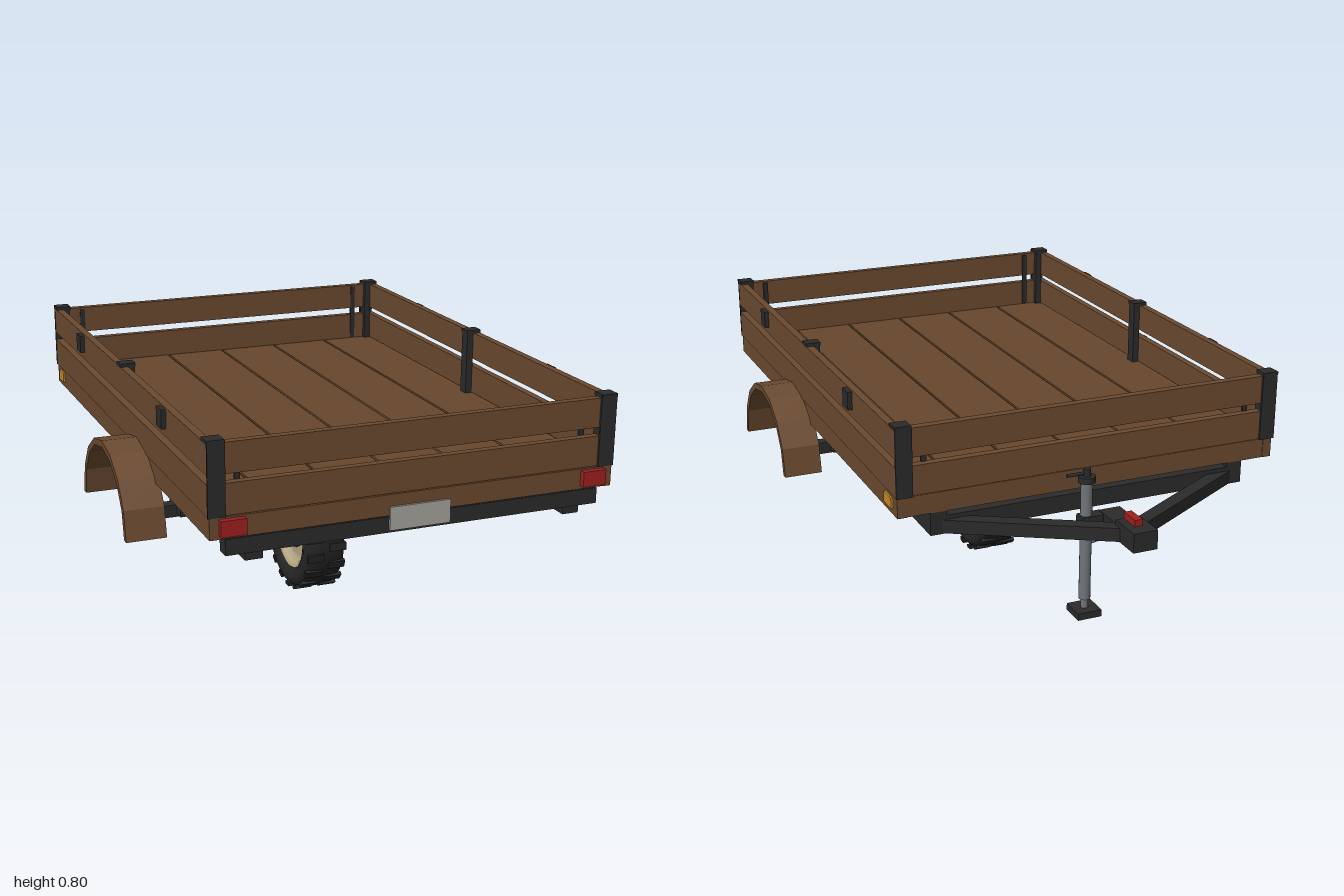
import * as THREE from 'three';

const paint = (color, side = THREE.FrontSide, flatShading = false) =>
  new THREE.MeshStandardMaterial({ color, side, flatShading });
const wood = paint(0x6b4a30), floorWood = paint(0x67472d), dark = paint(0x2b2b2b), rubber = paint(0x262626);
const steel = paint(0x70757a), cream = paint(0xb5a683), red = paint(0xa02020), amber = paint(0xc48a28);
const plateGrey = paint(0xa5a49c), fenderWood = paint(0x6b4a30, THREE.DoubleSide, true), seam = paint(0x3a2818);

export function createModel() {
  const model = new THREE.Group();
  model.name = 'trailer';

  const add = (name, geometry, material, parent = model) => {
    const mesh = new THREE.Mesh(geometry, material);
    mesh.name = name;
    parent.add(mesh);
    return mesh;
  };
  // Box given by its limits on each axis
  const box = (name, material, x0, x1, y0, y1, z0, z1, parent = model) => {
    const m = add(name, new THREE.BoxGeometry(x1 - x0, y1 - y0, z1 - z0), material, parent);
    m.position.set((x0 + x1) / 2, (y0 + y1) / 2, (z0 + z1) / 2);
    return m;
  };
  // The same box on both sides
  const pair = (name, material, x0, x1, ...rest) => {
    box(name + 'Left', material, x0, x1, ...rest);
    box(name + 'Right', material, -x1, -x0, ...rest);
  };
  // Bar or rod between two points
  const bar = (name, material, a, b, geometryFor) => {
    const from = new THREE.Vector3(...a), to = new THREE.Vector3(...b);
    const m = add(name, geometryFor(from.distanceTo(to)), material);
    m.position.copy(from).add(to).multiplyScalar(0.5);
    m.lookAt(to);
    return m;
  };
  const rod = r => len => new THREE.CylinderGeometry(r, r, len, 10).rotateX(Math.PI / 2);
  const post = (name, material, r, x, y0, y1, z) => {
    const m = add(name, new THREE.CylinderGeometry(r, r, y1 - y0, 18), material);
    m.position.set(x, (y0 + y1) / 2, z);
  };

  // Floor: six planks over a thin seam board, framed by edge boards
  box('floorUnderside', seam, -0.57, 0.57, 0.535, 0.589, -0.65, 0.95);
  for (let i = 0; i < 6; i++) {
    const x0 = Math.max(-0.57, -0.6 + i * 0.2 + 0.004), x1 = Math.min(0.57, -0.4 + i * 0.2 - 0.004);
    box('floorPlank', floorWood, x0, x1, 0.57, 0.595, -0.65, 0.95);
  }
  pair('floorEdge', wood, 0.57, 0.598, 0.535, 0.595, -0.675, 0.98);
  box('floorEdgeRear', wood, -0.57, 0.57, 0.535, 0.595, 0.95, 0.978);
  box('floorEdgeFront', wood, -0.57, 0.57, 0.535, 0.595, -0.673, -0.65);

  // Side walls, front wall and tailgate: two boards each
  for (const [y0, y1] of [[0.597, 0.685], [0.71, 0.795]]) {
    pair('sideBoard', wood, 0.578, 0.601, y0, y1, -0.673, 0.976);
    box('frontBoard', wood, -0.555, 0.555, y0, y1, -0.675, -0.65);
    box('tailgateBoard', wood, -0.555, 0.555, y0, y1, 0.952, 0.975);
  }

  // Posts with caps, and the small straps in the tailgate
  for (const z of [-0.66, 0.155, 0.96]) {
    const d = z === 0.155 ? 0.018 : 0.02;
    pair('post', dark, 0.557, 0.579, 0.595, 0.8, z - d, z + d);
    pair('postCap', dark, 0.555, 0.603, 0.795, 0.805, z - d - 0.002, z + d + 0.002);
    if (z !== 0.155) {
      const s = Math.sign(z), a = z + s * 0.015, b = z + s * 0.0215;
      pair('cornerPlate', dark, 0.553, 0.602, 0.595, 0.803, Math.min(a, b), Math.max(a, b));
    }
  }
  for (const z of [-0.655, 0.945]) pair('boardStrap', dark, 0.503, 0.519, 0.6, 0.79, z, z + 0.008);
  for (const z of [-0.29, 0.605]) pair('sideLatch', dark, 0.598, 0.615, 0.735, 0.79, z - 0.024, z + 0.024);

  // Lights and plate
  pair('tailLight', red, 0.5, 0.572, 0.545, 0.59, 0.976, 0.996);
  pair('sideMarker', amber, 0.597, 0.604, 0.553, 0.585, -0.64, -0.58);
  box('plate', plateGrey, -0.09, 0.09, 0.495, 0.562, 0.98, 0.987);

  // Chassis
  pair('chassisRail', dark, 0.45, 0.5, 0.465, 0.535, -0.67, 0.975);
  for (const z of [-0.645, -0.2, 0.32]) box('crossMember', dark, -0.46, 0.46, 0.468, 0.52, z - 0.025, z + 0.025);
  box('rearBeam', dark, -0.555, 0.555, 0.487, 0.533, 0.935, 0.979);

  // Axle hung from the rails
  box('axle', dark, -0.545, 0.545, 0.364, 0.402, 0.3, 0.34);
  pair('axleHanger', dark, 0.457, 0.488, 0.375, 0.47, 0.267, 0.378);

  // Mudguards: faceted arch with thickness
  const arch = new THREE.Shape();
  const steps = 8;
  for (let i = 0; i <= 2 * steps + 1; i++) {
    const outer = i <= steps, k = outer ? i : 2 * steps + 1 - i, t = (k / steps) * Math.PI;
    const x = Math.cos(t) * (outer ? 0.237 : 0.215), y = 0.39 + Math.sin(t) * (outer ? 0.232 : 0.212);
    i ? arch.lineTo(x, y) : arch.moveTo(x, y);
  }
  for (const s of [-1, 1]) {
    const g = new THREE.ExtrudeGeometry(arch, { depth: 0.12, bevelEnabled: false });
    g.translate(0, 0, -0.06).rotateY(Math.PI / 2);
    add(s > 0 ? 'mudguardLeft' : 'mudguardRight', g, fenderWood).position.set(s * 0.645, 0, 0.32);
  }

  // Wheel, turning about x
  const wheel = new THREE.Group();
  wheel.name = 'wheel';
  wheel.position.set(0, 0.193, 0.157);
  model.add(wheel);
  const lathe = (name, points, material) =>
    add(name, new THREE.LatheGeometry(points.map(p => new THREE.Vector2(...p)), 40).rotateZ(Math.PI / 2), material, wheel);
  lathe('tyre', [[0.118, -0.05], [0.125, -0.06], [0.15, -0.067], [0.168, -0.064], [0.18, -0.05], [0.183, -0.02],
    [0.183, 0.02], [0.18, 0.05], [0.168, 0.064], [0.15, 0.067], [0.125, 0.06], [0.118, 0.05], [0.118, -0.05]], rubber);
  lathe('rim', [[0, -0.034], [0.075, -0.034], [0.095, -0.03], [0.105, -0.046], [0.119, -0.056], [0.122, -0.05],
    [0.122, 0.05], [0.119, 0.056], [0.105, 0.046], [0.095, 0.03], [0.075, 0.034], [0, 0.034]], cream);
  const lug = new THREE.BoxGeometry(0.055, 0.012, 0.026);
  for (let i = 0; i < 18; i++) for (const s of [-1, 1]) {
    const t = ((i + (s > 0 ? 0.5 : 0)) / 18) * Math.PI * 2;
    const m = add('treadLug', lug, rubber, wheel);
    m.position.set(s * 0.036, Math.cos(t) * 0.182, Math.sin(t) * 0.182);
    m.rotation.x = t;
  }
  const disc = (name, material, r, w, y = 0, z = 0) =>
    add(name, new THREE.CylinderGeometry(r, r, w, 20).rotateZ(Math.PI / 2), material, wheel).position.set(0, y, z);
  disc('hub', wood, 0.055, 0.084);
  disc('hubCap', steel, 0.016, 0.1);
  for (let i = 0; i < 5; i++) {
    const t = (i / 5) * Math.PI * 2;
    disc('wheelBolt', steel, 0.006, 0.094, Math.cos(t) * 0.036, Math.sin(t) * 0.036);
  }

  // Drawbar, coupling and safety wires
  for (const s of [-1, 1]) {
    bar('drawbar', dark, [s * 0.465, 0.487, -0.645], [0, 0.487, -0.915], len => new THREE.BoxGeometry(0.042, 0.04, len));
    bar('safetyWire', steel, [s * 0.03, 0.472, -0.87], [s * 0.065, 0.385, -0.74], rod(0.004));
  }
  box('couplingBar', dark, -0.033, 0.033, 0.468, 0.508, -0.9, -0.78);
  box('couplingHead', dark, -0.037, 0.037, 0.466, 0.523, -0.998, -0.89);
  box('couplingHandle', red, -0.012, 0.012, 0.52, 0.542, -0.955, -0.89);

  // Parking jack
  box('jackClamp', dark, 0.025, 0.1, 0.472, 0.505, -0.81, -0.772);
  post('jackTube', steel, 0.017, 0.078, 0.245, 0.61, -0.79);
  post('jackRod', steel, 0.011, 0.078, 0.21, 0.25, -0.79);
  post('jackCap', dark, 0.025, 0.078, 0.605, 0.623, -0.79);
  post('jackTop', dark, 0.011, 0.078, 0.62, 0.645, -0.79);
  box('jackFoot', dark, 0.041, 0.115, 0.196, 0.217, -0.828, -0.752);
  bar('jackCrank', dark, [0.078, 0.632, -0.79], [0.14, 0.632, -0.79], rod(0.005));

  return model;
}
